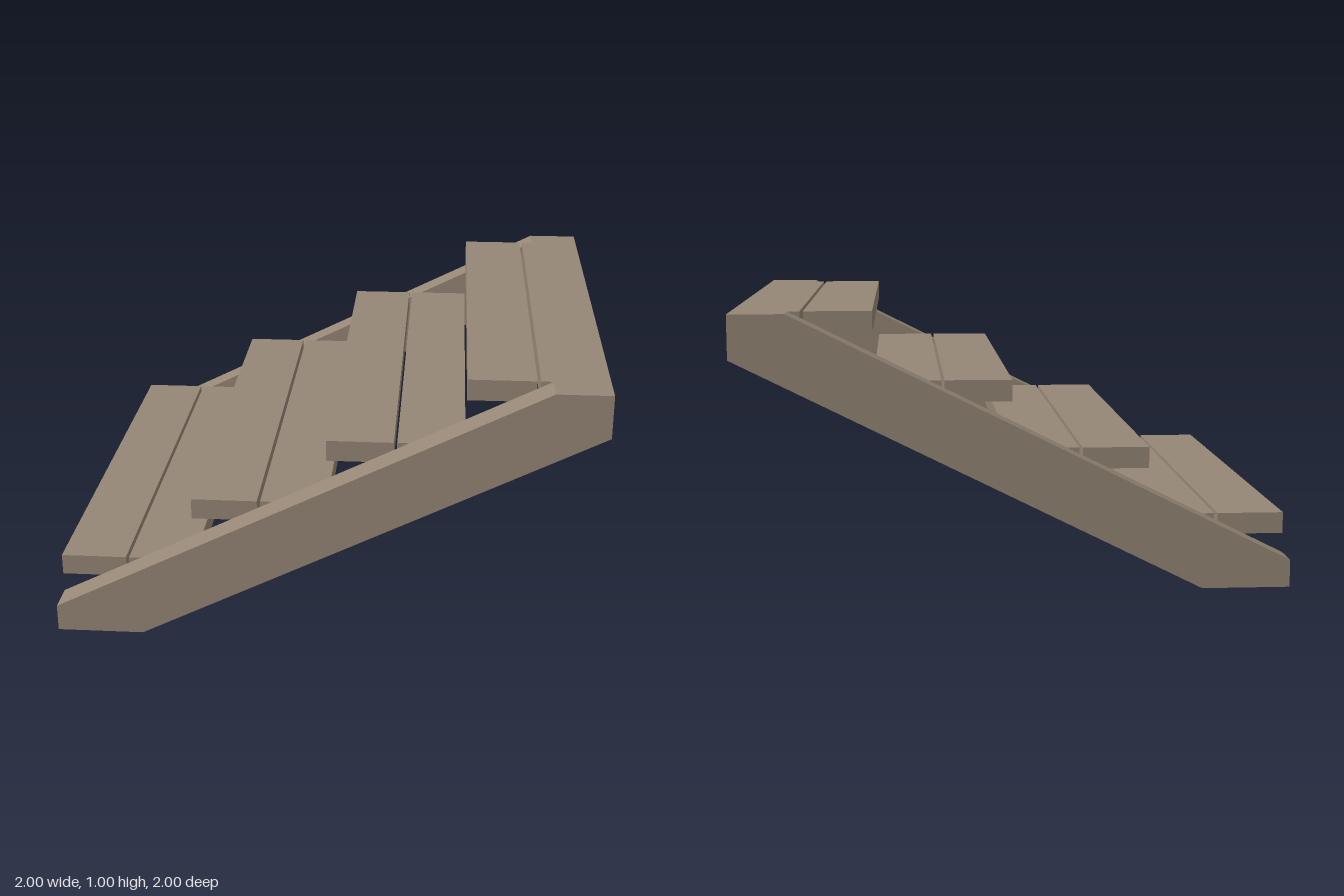
import * as THREE from 'three';

export function createModel() {
  const group = new THREE.Group();
  const wood = new THREE.MeshStandardMaterial({ color: 0x968776 });
  wood.name = 'weatheredWood';

  const inner = 0.88; // inner face of the stringers
  const gap = 0.012; // slit between the two planks of a tread
  const thickness = 0.078;

  // Sloping side stringers, cut level at the foot and the head
  const profile = new THREE.Shape([
    [-1, 0], [-0.68, 0], [1, 0.84], [1, 1], [0.8, 1], [-1, 0.1],
  ].map(([x, y]) => new THREE.Vector2(x, y)));
  const stringer = new THREE.ExtrudeGeometry(profile, { depth: 1 - inner, bevelEnabled: false });
  for (const [name, z] of [['frontStringer', inner], ['backStringer', -1]]) {
    const mesh = new THREE.Mesh(stringer, wood);
    mesh.name = name;
    mesh.position.z = z;
    group.add(mesh);
  }

  // Four treads, each made of two planks between the stringers
  const plank = new THREE.BoxGeometry(0.25 - gap / 2, thickness, inner * 2);
  for (let i = 0; i < 4; i++) {
    const tread = new THREE.Group();
    tread.name = `tread${i + 1}`;
    tread.position.set(-0.75 + i * 0.5, 0.25 * (i + 1) - thickness / 2, 0);
    for (const side of [-1, 1]) {
      const mesh = new THREE.Mesh(plank, wood);
      mesh.name = side < 0 ? 'outerPlank' : 'innerPlank';
      mesh.position.x = side * (0.125 + gap / 4);
      tread.add(mesh);
    }
    group.add(tread);
  }
  return group;
}
